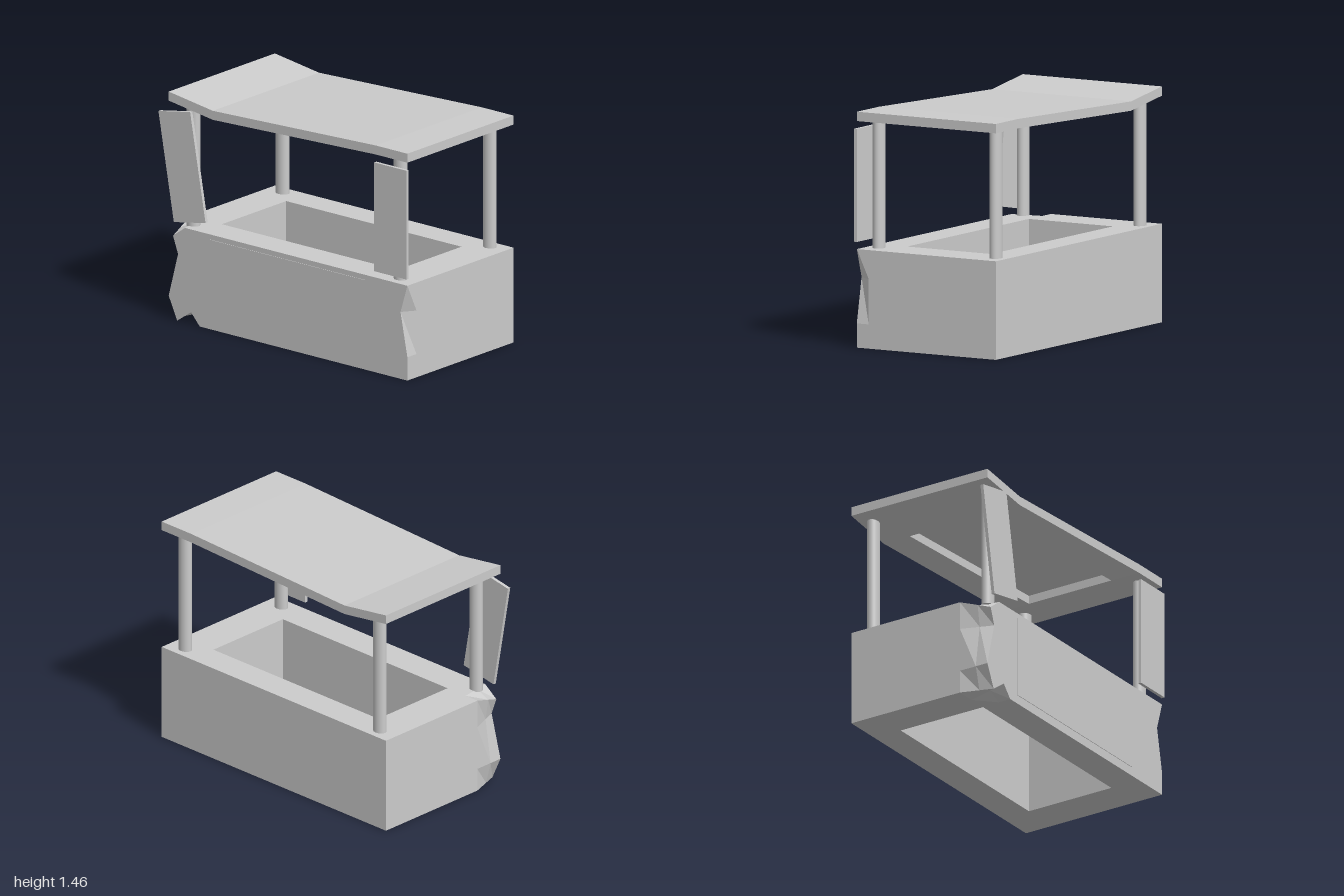
import * as THREE from 'three';

const mat = new THREE.MeshStandardMaterial({ color: 0xcccccc });
const flat = new THREE.MeshStandardMaterial({ color: 0xcccccc, flatShading: true });

// Outer bounds and the rectangular opening shared by counter and canopy
const L = -0.93, R = 0.99, BACK = -0.508, FRONT = 0.496, H = 0.61;
const holeL = -0.675, holeR = 0.735, holeB = -0.315, holeF = 0.293;

const shapeOf = pts => new THREE.Shape(pts.map(p => new THREE.Vector2(p[0], p[1])));

function add(parent, name, geometry, material = flat) {
  const mesh = new THREE.Mesh(geometry, material);
  mesh.name = name;
  parent.add(mesh);
  return mesh;
}

// Prism of an xy outline between two z values
function prism(pts, z0, z1) {
  return new THREE.ExtrudeGeometry(shapeOf(pts), { depth: z1 - z0, bevelEnabled: false }).translate(0, 0, z0);
}

// Skin between successive counter-clockwise rings of [x, y, z] points
function loft(rings) {
  const pos = [];
  for (let i = 0; i < rings.length - 1; i++) {
    const a = rings[i], b = rings[i + 1], n = a.length;
    for (let k = 0; k < n; k++) {
      const m = (k + 1) % n;
      pos.push(...a[k], ...a[m], ...b[m], ...a[k], ...b[m], ...b[k]);
    }
  }
  const g = new THREE.BufferGeometry();
  g.setAttribute('position', new THREE.Float32BufferAttribute(pos, 3));
  g.computeVertexNormals();
  return g;
}

function buildCounter() {
  const counter = new THREE.Group();
  counter.name = 'counter';

  // Back and side walls: U-shaped plan, extruded upward
  const plan = [[L, holeF], [L, BACK], [R, BACK], [R, holeF], [holeR, holeF], [holeR, holeB], [holeL, holeB], [holeL, holeF]];
  const walls = new THREE.ExtrudeGeometry(shapeOf(plan.map(([x, z]) => [x, -z])), { depth: H, bevelEnabled: false });
  add(counter, 'counterWalls', walls.rotateX(-Math.PI / 2));

  // Front wall: plain rectangle at the back, chipped outline at the face
  const inner = [[-0.83, H], [L, H], [L, 0.43], [L, 0.147], [L, 0], [-0.8, 0], [-0.68, 0], [R, 0], [R, 0.15], [R, 0.43], [R, H]];
  const outer = [[-0.8, H], [-0.895, 0.54], [-0.855, 0.43], [L, 0.147], [-0.862, 0], [-0.75, 0.077], [-0.68, 0], [R, 0], [R, 0.15], [0.935, 0.43], [R, H]];
  const zMid = 0.41, t = (zMid - holeF) / (FRONT - holeF);
  // The right-hand chip starts only at the middle section
  const middle = inner.map(([x, y], k) => k > 6 ? [x, y] : [x + (outer[k][0] - x) * t, y + (outer[k][1] - y) * t]);
  const ring = (pts, z) => pts.map(([x, y]) => [x, y, z]);
  add(counter, 'frontWall', loft([ring(inner, holeF), ring(middle, zMid), ring(outer, FRONT)]));
  add(counter, 'frontFace', new THREE.ShapeGeometry(shapeOf(outer)).translate(0, 0, FRONT));
  const inside = new THREE.PlaneGeometry(holeR - holeL, H).rotateY(Math.PI);
  add(counter, 'frontWallInside', inside.translate((holeL + holeR) / 2, H / 2, holeF));

  // Slightly raised panel on the front
  add(counter, 'frontPanel', new THREE.BoxGeometry(1.255, 0.52, 0.01)).position.set(0.0275, 0.317, 0.4945);
  return counter;
}

function buildCanopy() {
  const canopy = new THREE.Group();
  canopy.name = 'canopy';
  const foldL = -0.575, foldR = holeR;
  const top = [[L, 1.46], [foldL, 1.41], [foldR, 1.46], [R, 1.46]];
  // Strip of the sagging roof between two fold points
  const strip = (i, j, thick) => {
    const upper = top.slice(i, j + 1);
    return [...upper.map(([x, y]) => [x, y - thick]), ...upper.reverse()];
  };
  add(canopy, 'canopyFrontRim', prism(strip(0, 3, 0.058), holeF, FRONT));
  add(canopy, 'canopyBackRim', prism(strip(0, 3, 0.058), BACK, holeB));
  add(canopy, 'canopyLowEnd', prism(strip(0, 1, 0.058), holeB, holeF));
  add(canopy, 'canopyHighEnd', prism(strip(2, 3, 0.058), holeB, holeF));
  // Thin skin above the recess in the underside
  add(canopy, 'canopySkin', prism(strip(1, 2, 0.004), holeB, holeF));
  return canopy;
}

export function createModel() {
  const stall = new THREE.Group();
  stall.name = 'marketStall';
  stall.add(buildCounter(), buildCanopy());

  // Four slightly oval posts
  for (const x of [-0.802, 0.865]) {
    for (const z of [-0.43, 0.413]) {
      const post = add(stall, 'post', new THREE.CylinderGeometry(1, 1, 0.81, 32), mat);
      post.scale.set(0.0455, 1, 0.037);
      post.position.set(x, 1.01, z);
    }
  }

  // Sign boards hung on the front posts, one of them crooked
  for (const [x, y, tilt] of [[0.866, 1.005, 0], [-0.81, 1.003, 0.178]]) {
    const board = add(stall, 'signBoard', new THREE.BoxGeometry(0.259, 0.7, 0.021));
    board.position.set(x, y, 0.501);
    board.rotation.z = tilt;
  }
  return stall;
}
